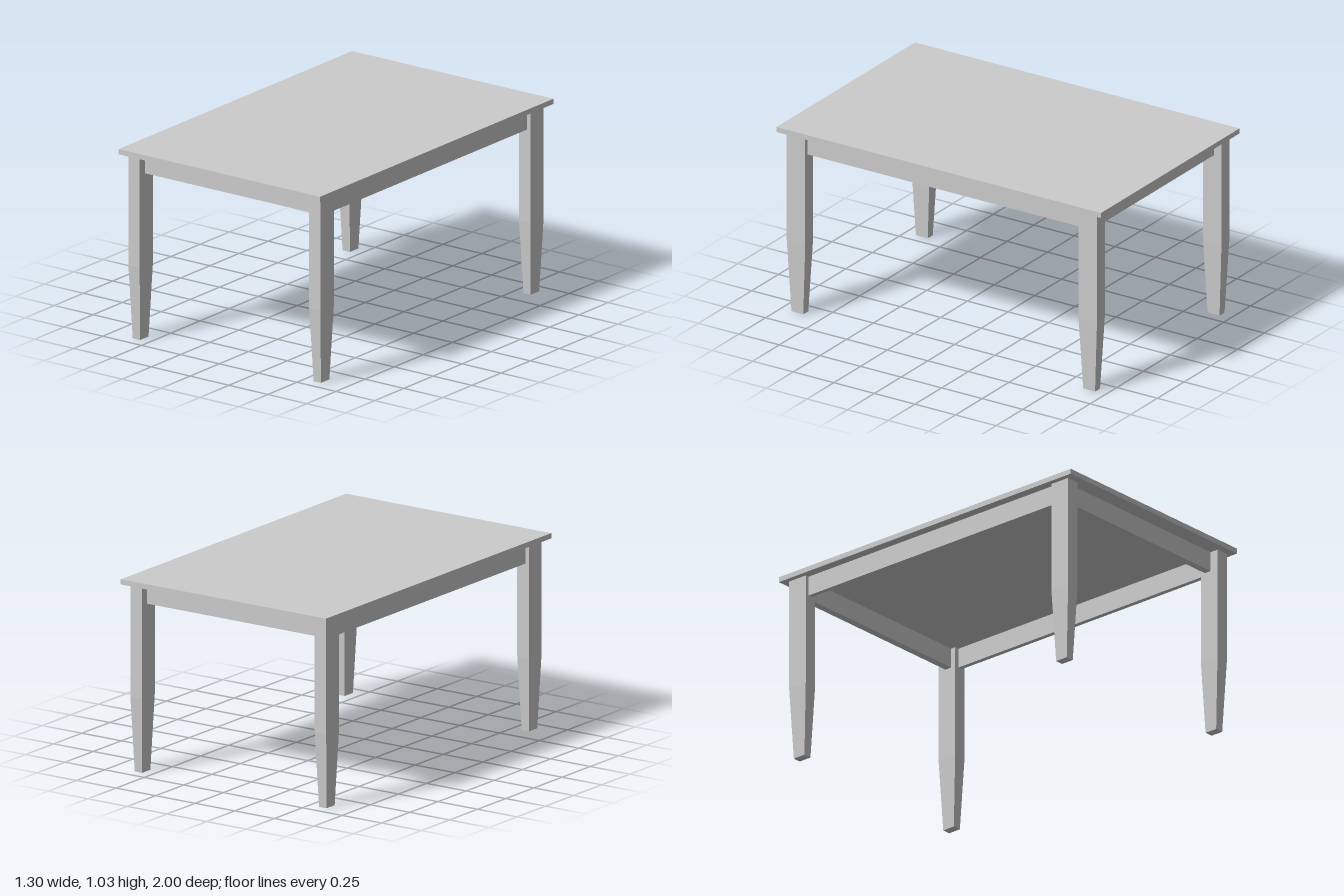
import * as THREE from 'three';

const material = new THREE.MeshStandardMaterial({ color: 0xcccccc, flatShading: true });

const TOP = 1.035, UNDER = 1.007, APRON_BOTTOM = 0.9;
const LEG = { x: 0.582, z: 0.899, w: 0.073, d: 0.114, taperY: 0.4, foot: 0.64 };

function part(name, geometry, x, y, z) {
  const mesh = new THREE.Mesh(geometry, material);
  mesh.name = name;
  mesh.position.set(x, y, z);
  return mesh;
}

// Square leg: straight above taperY, narrowing evenly to the foot below it
function legGeometry() {
  const g = new THREE.BoxGeometry(LEG.w, UNDER, LEG.d, 1, 2, 1);
  g.translate(0, UNDER / 2, 0);
  const p = g.attributes.position;
  for (let i = 0; i < p.count; i++) {
    const y = p.getY(i);
    if (y < 0.01) {
      p.setX(i, p.getX(i) * LEG.foot);
      p.setZ(i, p.getZ(i) * LEG.foot);
    } else if (y < UNDER - 0.01) {
      p.setY(i, LEG.taperY);
    }
  }
  g.computeVertexNormals();
  return g;
}

export function createModel() {
  const table = new THREE.Group();
  table.name = 'table';

  // Thin flat top
  table.add(part('tableTop', new THREE.BoxGeometry(1.296, TOP - UNDER, 2), 0, (TOP + UNDER) / 2, 0));

  // Four tapered legs
  const leg = legGeometry();
  for (const [sx, side] of [[1, 'Left'], [-1, 'Right']]) {
    for (const [sz, end] of [[1, 'front'], [-1, 'back']]) {
      table.add(part(`${end}${side}Leg`, leg, sx * LEG.x, 0, sz * LEG.z));
    }
  }

  // Apron rails between the legs, set back from the legs' outer faces
  const h = UNDER - APRON_BOTTOM, y = (UNDER + APRON_BOTTOM) / 2;
  const endRail = new THREE.BoxGeometry(2 * LEG.x - LEG.w, h, 0.04);
  const sideRail = new THREE.BoxGeometry(0.026, h, 2 * LEG.z - LEG.d);
  for (const s of [1, -1]) {
    table.add(part(s > 0 ? 'frontApron' : 'backApron', endRail, 0, y, s * 0.889));
    table.add(part(s > 0 ? 'leftApron' : 'rightApron', sideRail, s * 0.584, y, 0));
  }
  return table;
}
